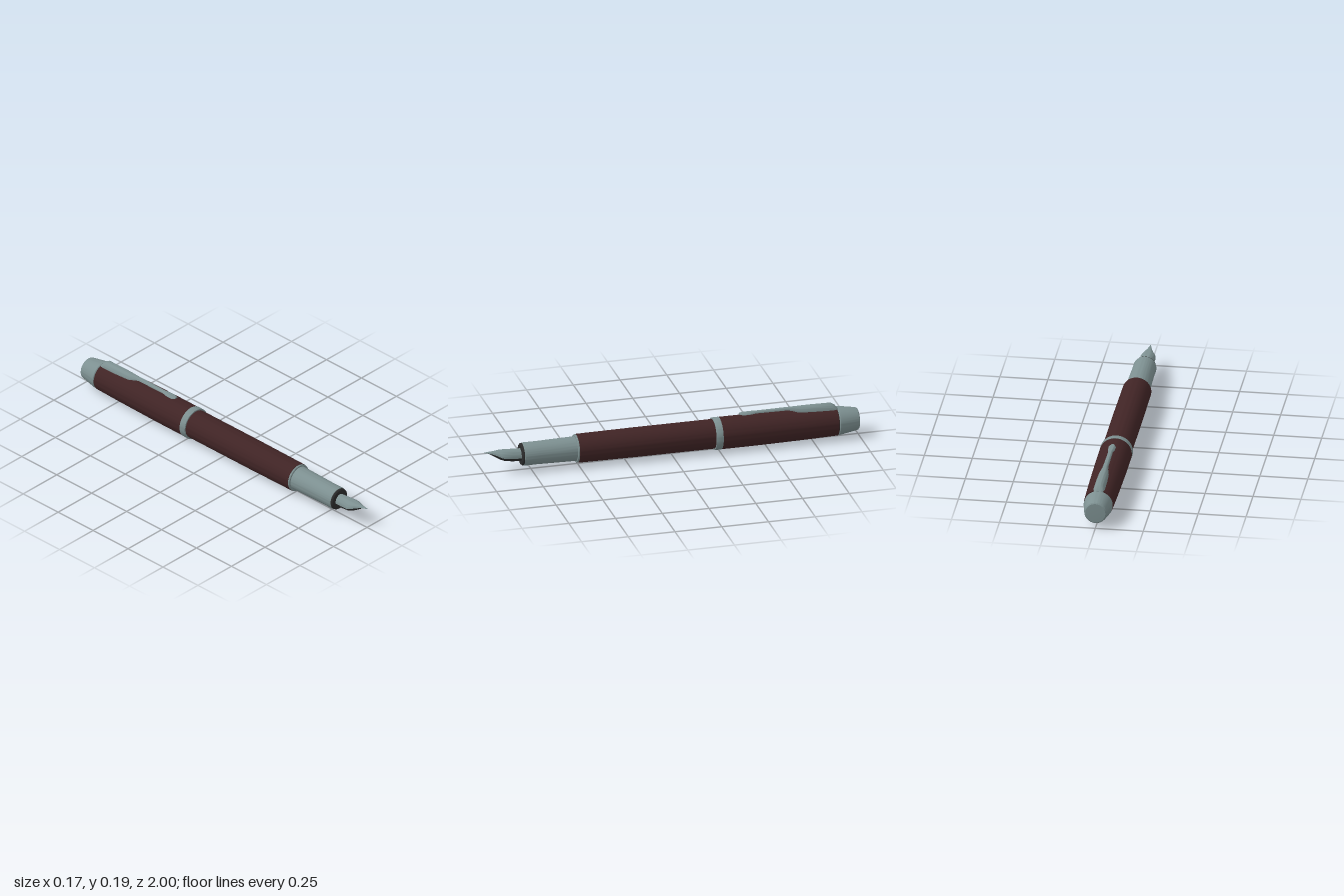
import * as THREE from 'three';
import { toCreasedNormals } from 'three/addons/utils/BufferGeometryUtils.js';

const AXIS_Y = 0.087;

const metal = new THREE.MeshStandardMaterial({ color: 0x7d9091 });
metal.name = 'steel grey';
const lacquer = new THREE.MeshStandardMaterial({ color: 0x402425 });
lacquer.name = 'dark red lacquer';
const black = new THREE.MeshStandardMaterial({ color: 0x2b2b2b });
black.name = 'black plastic';

// Round part turned about the pen axis; profile is [radius, z] with z rising
function turned(name, profile, material) {
  const points = profile.map(([r, z]) => new THREE.Vector2(r, z));
  const geometry = new THREE.LatheGeometry(points, 64);
  geometry.rotateX(Math.PI / 2);
  const mesh = new THREE.Mesh(toCreasedNormals(geometry, 0.5), material);
  mesh.name = name;
  mesh.position.y = AXIS_Y;
  return mesh;
}

// Half-oval loft along z; stations are [z, half width, edge y, crown y]
function halfOvalLoft(name, stations, material, startAngle) {
  const steps = 16, count = steps + 1, positions = [], index = [];
  for (const [z, w, edge, crown] of stations) {
    const height = Math.abs(crown - edge);
    for (let j = 0; j <= steps; j++) {
      const t = startAngle + (Math.PI * j) / steps;
      positions.push(w * Math.cos(t), edge + height * Math.sin(t), z);
    }
  }
  const last = (stations.length - 1) * count;
  for (let i = 0; i < stations.length - 1; i++) {
    for (let j = 0; j < count; j++) {
      const k = (j + 1) % count;
      const a = i * count + j, b = i * count + k;
      index.push(a, b, b + count, a, b + count, a + count);
    }
  }
  // End faces
  for (let j = 1; j < steps; j++) {
    index.push(0, j + 1, j, last, last + j, last + j + 1);
  }
  const geometry = new THREE.BufferGeometry();
  geometry.setAttribute('position', new THREE.Float32BufferAttribute(positions, 3));
  geometry.setIndex(index);
  const mesh = new THREE.Mesh(toCreasedNormals(geometry, 0.6), material);
  mesh.name = name;
  return mesh;
}

export function createModel() {
  const pen = new THREE.Group();
  pen.name = 'fountainPen';

  // Cap
  const cap = new THREE.Group();
  cap.name = 'cap';
  cap.add(
    turned('capEnd', [[0, -1], [0.052, -0.998], [0.058, -0.993], [0.061, -0.98],
      [0.075, -0.9], [0.075, -0.89], [0.07, -0.886], [0, -0.886]], metal),
    turned('capGroove', [[0.069, -0.89], [0.069, -0.878]], black),
    turned('capBody', [[0, -0.882], [0.077, -0.882], [0.081, -0.7], [0.084, -0.45],
      [0.084, -0.258], [0, -0.258]], lacquer),
    turned('capBand', [[0, -0.26], [0.085, -0.26], [0.085, -0.226], [0.084, -0.224],
      [0, -0.224]], metal),
    // Clip: broad shoulder, slim arm and small rounded foot
    halfOvalLoft('clip', [
      [-0.888, 0.026, 0.15, 0.162],
      [-0.875, 0.029, 0.152, 0.178],
      [-0.855, 0.03, 0.154, 0.19],
      [-0.76, 0.029, 0.157, 0.192],
      [-0.69, 0.026, 0.16, 0.192],
      [-0.645, 0.016, 0.174, 0.192],
      [-0.62, 0.014, 0.179, 0.192],
      [-0.45, 0.012, 0.18, 0.191],
      [-0.425, 0.018, 0.179, 0.191],
      [-0.385, 0.019, 0.179, 0.19],
      [-0.365, 0.009, 0.181, 0.188],
    ], metal, 0),
  );
  pen.add(cap);

  // Barrel and grip
  pen.add(
    turned('barrel', [[0, -0.23], [0.077, -0.23], [0.077, 0.2], [0.075, 0.505],
      [0, 0.505]], lacquer),
    turned('barrelRing', [[0, 0.5], [0.0735, 0.5], [0.0735, 0.511], [0.071, 0.514],
      [0, 0.514]], metal),
    turned('grip', [[0, 0.51], [0.064, 0.51], [0.062, 0.62], [0.06, 0.72],
      [0.0605, 0.785], [0.059, 0.795], [0, 0.795]], metal),
    turned('gripCollar', [[0, 0.79], [0.0585, 0.79], [0.0575, 0.801], [0.053, 0.806],
      [0, 0.806]], black),
  );

  // Nib above, ink feed below
  pen.add(
    halfOvalLoft('nib', [
      [0.8, 0.033, 0.077, 0.119],
      [0.85, 0.036, 0.08, 0.121],
      [0.895, 0.041, 0.087, 0.122],
      [0.915, 0.037, 0.093, 0.122],
      [0.935, 0.025, 0.101, 0.121],
      [0.96, 0.013, 0.109, 0.12],
      [0.98, 0.007, 0.113, 0.119],
      [1, 0.002, 0.116, 0.118],
    ], metal, 0),
    halfOvalLoft('feed', [
      [0.8, 0.032, 0.078, 0.055],
      [0.85, 0.035, 0.081, 0.056],
      [0.895, 0.04, 0.088, 0.065],
      [0.915, 0.036, 0.094, 0.073],
      [0.935, 0.024, 0.102, 0.084],
      [0.96, 0.012, 0.11, 0.1],
      [0.98, 0.005, 0.114, 0.111],
    ], black, Math.PI),
  );
  return pen;
}
